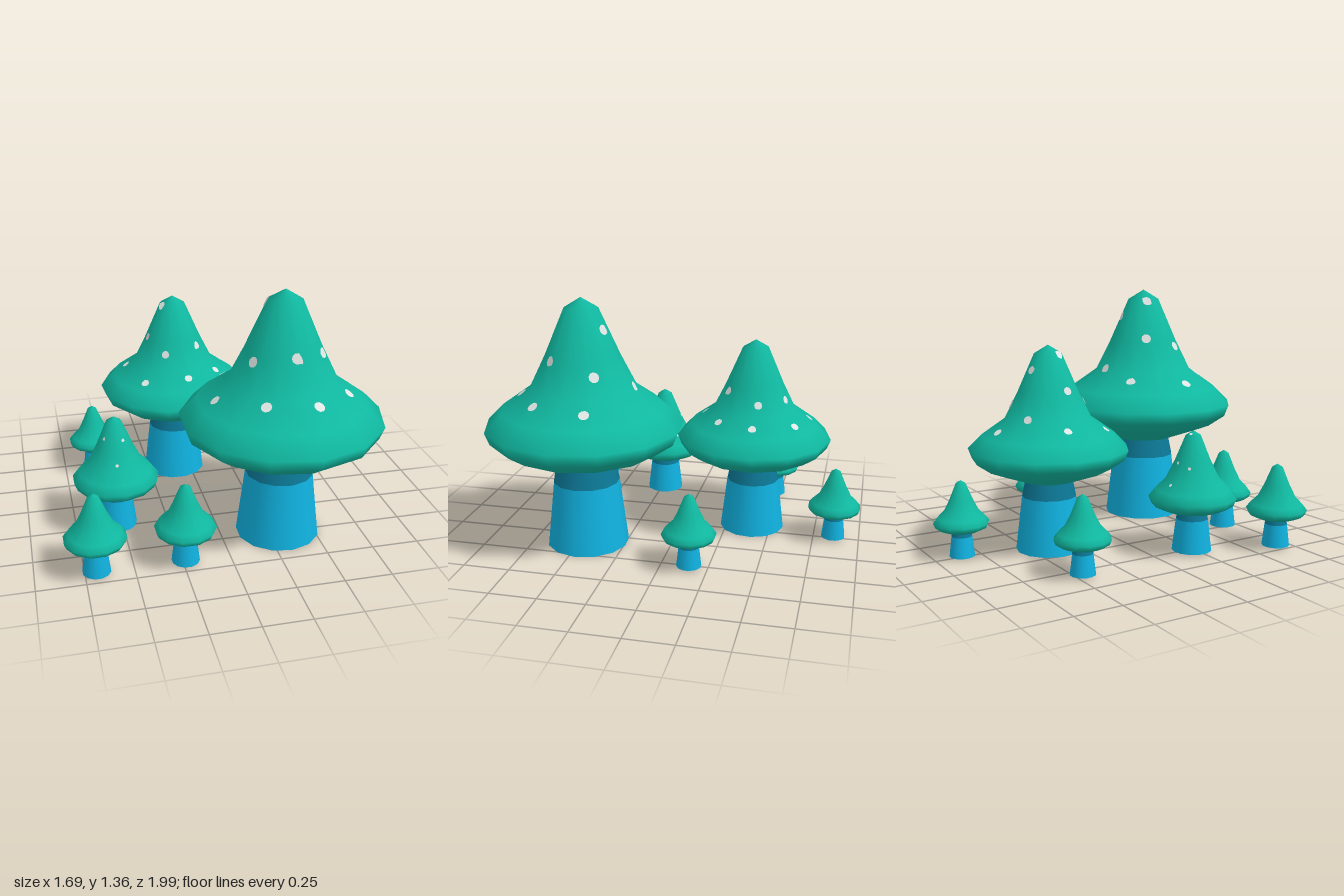
import * as THREE from 'three';

const capMat = new THREE.MeshStandardMaterial({ color: 0x10b8a0 });
capMat.name = 'teal cap';
const stemMat = new THREE.MeshStandardMaterial({ color: 0x10b2e0 });
stemMat.name = 'blue stem';
const collarMat = new THREE.MeshStandardMaterial({ color: 0x0c7896 });
collarMat.name = 'dark blue collar';
const spotMat = new THREE.MeshStandardMaterial({ color: 0xdde4e2 });
spotMat.name = 'pale spots';

// Cap outlines [radius, height], underside to tip; the rim is at RIM
const RIM = 4;
const WIDE = [[0.1, 0.455], [0.17, 0.465], [0.41, 0.55], [0.505, 0.615], [0.53, 0.68],
  [0.44, 0.77], [0.285, 0.88], [0.2, 1.05], [0.09, 1.3], [0, 1.355]];
const SMALL = [[0.1, 0.43], [0.17, 0.44], [0.34, 0.475], [0.455, 0.53], [0.49, 0.61],
  [0.42, 0.7], [0.3, 0.82], [0.2, 1.02], [0.085, 1.3], [0, 1.355]];

// Height of the faceted upper cap surface at (x, z)
function capHeight(points, sides, start, x, z) {
  const step = (Math.PI * 2) / sides;
  const turn = (((Math.atan2(x, z) - start) % step) + step) % step;
  const r = (Math.hypot(x, z) * Math.cos(turn - step / 2)) / Math.cos(step / 2);
  for (let i = RIM; i < points.length - 1; i++) {
    const [r0, y0] = points[i], [r1, y1] = points[i + 1];
    if (r <= r0 && r >= r1) return y0 + ((y1 - y0) * (r0 - r)) / (r0 - r1);
  }
  return points[RIM][1];
}

// Thin round patch draped on the cap
function makeSpot(height, x, z, radius) {
  const e = 0.01;
  const normal = new THREE.Vector3(
    (height(x - e, z) - height(x + e, z)) / (2 * e), 1,
    (height(x, z - e) - height(x, z + e)) / (2 * e)).normalize();
  const geo = new THREE.CircleGeometry(radius, 10);
  geo.applyQuaternion(new THREE.Quaternion().setFromUnitVectors(new THREE.Vector3(0, 0, 1), normal));
  geo.translate(x, 0, z);
  const p = geo.attributes.position;
  for (let i = 0; i < p.count; i++) p.setY(i, height(p.getX(i), p.getZ(i)));
  geo.translate(normal.x * 0.005, normal.y * 0.005, normal.z * 0.005);
  const spot = new THREE.Mesh(geo, spotMat);
  spot.name = 'spot';
  return spot;
}

function makeMushroom({ name, x, z, base = 0, scale, outline, sides = 13, start = 0, spots = [], spotSize }) {
  const group = new THREE.Group();
  group.name = name;
  group.position.set(x, base, z);
  const points = outline.map(([r, y]) => [r * scale, y * scale]);

  const cap = new THREE.Mesh(
    new THREE.LatheGeometry(points.map(([r, y]) => new THREE.Vector2(r, y)), sides, start), capMat);
  cap.name = 'cap';

  // Tapered stem with a dark collar below the cap
  const stem = new THREE.Mesh(
    new THREE.CylinderGeometry(0.18 * scale, 0.223 * scale, 0.36 * scale, sides, 1, false, start), stemMat);
  stem.position.y = 0.18 * scale;
  stem.name = 'stem';
  const collar = new THREE.Mesh(
    new THREE.CylinderGeometry(0.155 * scale, 0.18 * scale, 0.12 * scale, sides, 1, true, start), collarMat);
  collar.position.y = 0.42 * scale;
  collar.name = 'collar';
  group.add(cap, stem, collar);

  const height = (px, pz) => capHeight(points, sides, start, px, pz);
  for (const [sx, sz] of spots) group.add(makeSpot(height, sx - x, sz - z, spotSize));
  return group;
}

// Spot positions seen from above, [x, z]
const LARGE_SPOTS = [[0.07, 0.22], [0.3, 0.19], [0.15, 0.375], [0.35, 0.335], [0.23, 0.43],
  [0.505, 0.34], [0.645, 0.35], [-0.05, 0.52], [0.13, 0.56], [0.15, 0.73], [0.32, 0.655],
  [0.475, 0.575], [0.605, 0.63], [0.4, 0.77]];
const MEDIUM_SPOTS = [[-0.11, -0.69], [0.08, -0.63], [-0.21, -0.57], [-0.01, -0.565],
  [-0.11, -0.495], [-0.36, -0.425], [0.1, -0.435], [0.195, -0.42], [-0.235, -0.36],
  [-0.15, -0.365], [-0.16, -0.225], [0.025, -0.265], [0.13, -0.23], [-0.29, -0.165], [-0.05, -0.125]];
const YOUNG_SPOTS = [[-0.54, 0.2], [-0.58, 0.27], [-0.49, 0.29], [-0.53, 0.35], [-0.42, 0.12],
  [-0.44, 0.21], [-0.53, 0.13], [-0.6, 0.15], [-0.55, 0.07]];

export function createModel() {
  const model = new THREE.Group();
  model.name = 'mushroomCluster';
  const rad = THREE.MathUtils.degToRad;

  model.add(makeMushroom({ name: 'largeMushroom', x: 0.313, z: 0.462, scale: 1, outline: WIDE,
    start: rad(88), spots: LARGE_SPOTS, spotSize: 0.028 }));
  model.add(makeMushroom({ name: 'mediumMushroom', x: -0.088, z: -0.392, scale: 0.803, outline: WIDE,
    start: rad(96), spots: MEDIUM_SPOTS, spotSize: 0.022 }));
  model.add(makeMushroom({ name: 'youngMushroom', x: -0.525, z: 0.225, base: 0.01, scale: 0.472,
    outline: SMALL, start: rad(90), spots: YOUNG_SPOTS, spotSize: 0.009 }));

  // Small plain mushrooms around the edge: [x, z, scale]
  const sprouts = [[-0.69, 0.66, 0.328], [-0.235, 0.66, 0.325], [0.515, -0.15, 0.295],
    [-0.005, -0.858, 0.295], [-0.573, -0.463, 0.295]];
  for (const [x, z, scale] of sprouts) {
    model.add(makeMushroom({ name: 'smallMushroom', x, z, base: 0.01, scale, outline: SMALL,
      sides: 12, start: rad(15) }));
  }
  return model;
}
